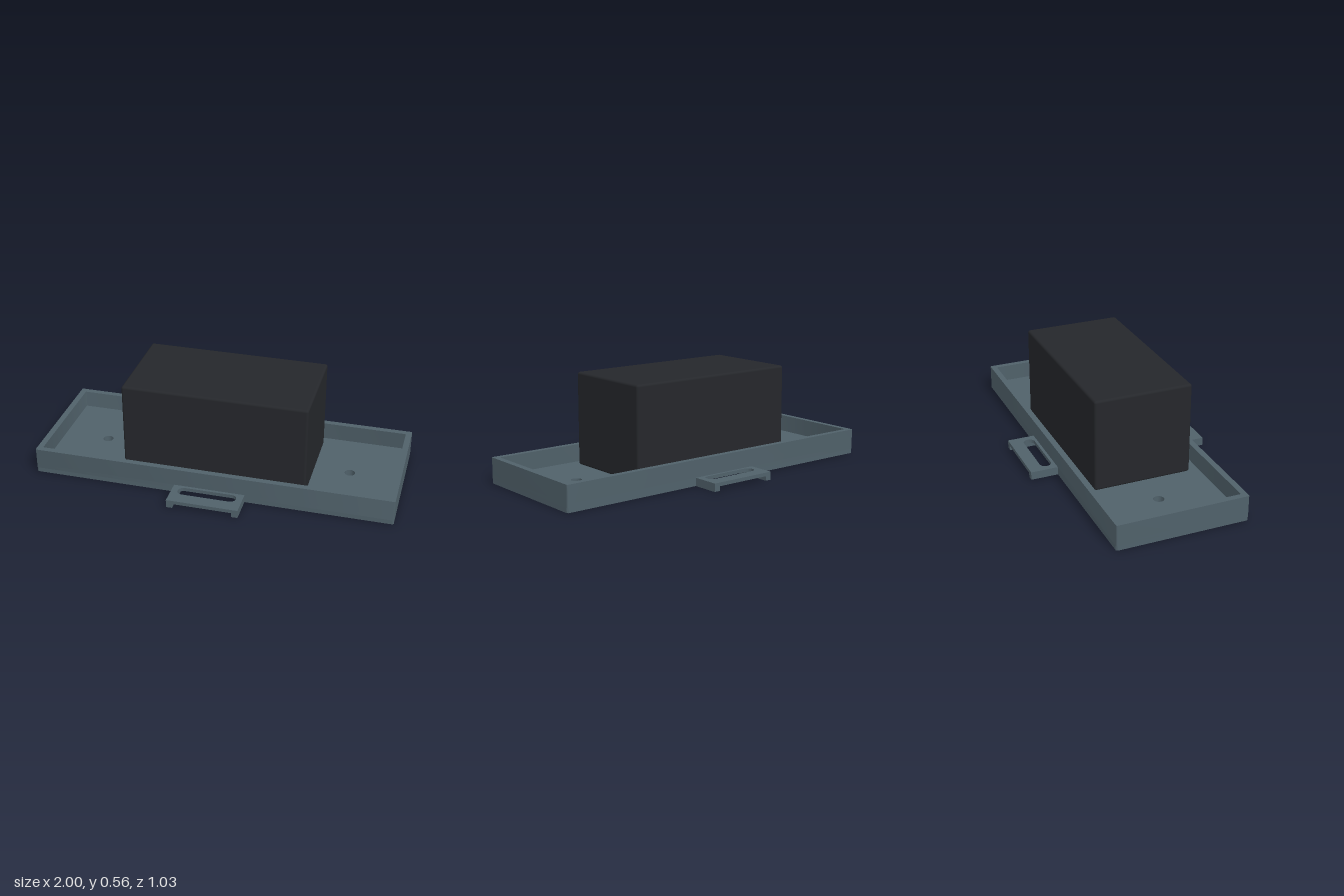
import * as THREE from 'three';
import { toCreasedNormals } from 'three/addons/utils/BufferGeometryUtils.js';
import { RoundedBoxGeometry } from 'three/addons/geometries/RoundedBoxGeometry.js';

const W = 1, D = 0.362;                // tray half width and half depth
const TAB_W = 0.197, TAB_D = 0.514;    // strap tab half width and reach
const CHANNEL = 0.163;                 // strap channel half width
const ROOF = 0.025, FLOOR = 0.045, RIM = 0.142;
const R = 0.007;                       // small corner radius
const HOLE_X = 0.707;

const trayMaterial = new THREE.MeshStandardMaterial({ color: 0x50616a });
const boxMaterial = new THREE.MeshStandardMaterial({ color: 0x25272b });

// Adds a rounded rectangle outline to a shape or path
function roundRect(path, hw, hd, r, cx = 0, cy = 0) {
  path.absarc(cx + hw - r, cy + hd - r, r, 0, Math.PI / 2);
  path.absarc(cx - hw + r, cy + hd - r, r, Math.PI / 2, Math.PI);
  path.absarc(cx - hw + r, cy - hd + r, r, Math.PI, Math.PI * 1.5);
  path.absarc(cx + hw - r, cy - hd + r, r, Math.PI * 1.5, Math.PI * 2);
  path.closePath();
  return path;
}

function screwHole(side) {
  return new THREE.Path().absarc(side * HOLE_X, 0, 0.029, 0, Math.PI * 2);
}

// Extrudes a plan shape upward from y0 to y1
function layer(name, shape, y0, y1) {
  const geometry = new THREE.ExtrudeGeometry(shape, { depth: y1 - y0, bevelEnabled: false, curveSegments: 12 });
  geometry.rotateX(-Math.PI / 2).translate(0, y0, 0);
  const mesh = new THREE.Mesh(toCreasedNormals(geometry, 0.6), trayMaterial);
  mesh.name = name;
  return mesh;
}

export function createModel() {
  const model = new THREE.Group();
  model.name = 'trayWithBox';
  const tray = new THREE.Group();
  tray.name = 'tray';
  model.add(tray);

  // Floor plate with strap tabs front and back
  const plate = new THREE.Shape();
  plate.moveTo(TAB_W, D).lineTo(TAB_W, TAB_D).lineTo(-TAB_W, TAB_D).lineTo(-TAB_W, D);
  plate.absarc(-W + R, D - R, R, Math.PI / 2, Math.PI);
  plate.absarc(-W + R, -D + R, R, Math.PI, Math.PI * 1.5);
  plate.lineTo(-TAB_W, -D).lineTo(-TAB_W, -TAB_D).lineTo(TAB_W, -TAB_D).lineTo(TAB_W, -D);
  plate.absarc(W - R, -D + R, R, Math.PI * 1.5, Math.PI * 2);
  plate.absarc(W - R, D - R, R, 0, Math.PI / 2);
  plate.closePath();
  for (const side of [-1, 1]) {
    plate.holes.push(screwHole(side));
    plate.holes.push(roundRect(new THREE.Path(), 0.162, 0.032, 0.0319, 0, side * 0.41));
  }
  tray.add(layer('floorPlate', plate, ROOF, FLOOR));

  // Underside halves with tab rails, leaving the strap channel between them
  for (const side of [-1, 1]) {
    const points = [
      [CHANNEL, -TAB_D], [TAB_W, -TAB_D], [TAB_W, -D], [W - R, -D], [W, -D + R],
      [W, D - R], [W - R, D], [TAB_W, D], [TAB_W, TAB_D], [CHANNEL, TAB_D],
    ].map(([x, y]) => new THREE.Vector2(side * x, y));
    const half = new THREE.Shape(points);
    half.holes.push(screwHole(side));
    tray.add(layer(side > 0 ? 'leftUnderside' : 'rightUnderside', half, 0, ROOF));
  }

  // Raised wall around the tray
  const wall = roundRect(new THREE.Shape(), W, D, R);
  wall.holes.push(roundRect(new THREE.Path(), W - 0.033, D - 0.033, 0.003));
  tray.add(layer('rimWall', wall, FLOOR, RIM));

  // Dark box standing on the tray floor
  const height = 0.56 - FLOOR;
  const box = new THREE.Mesh(new RoundedBoxGeometry(1.02, height, 0.546, 3, 0.013), boxMaterial);
  box.name = 'box';
  box.position.y = FLOOR + height / 2;
  model.add(box);

  return model;
}
